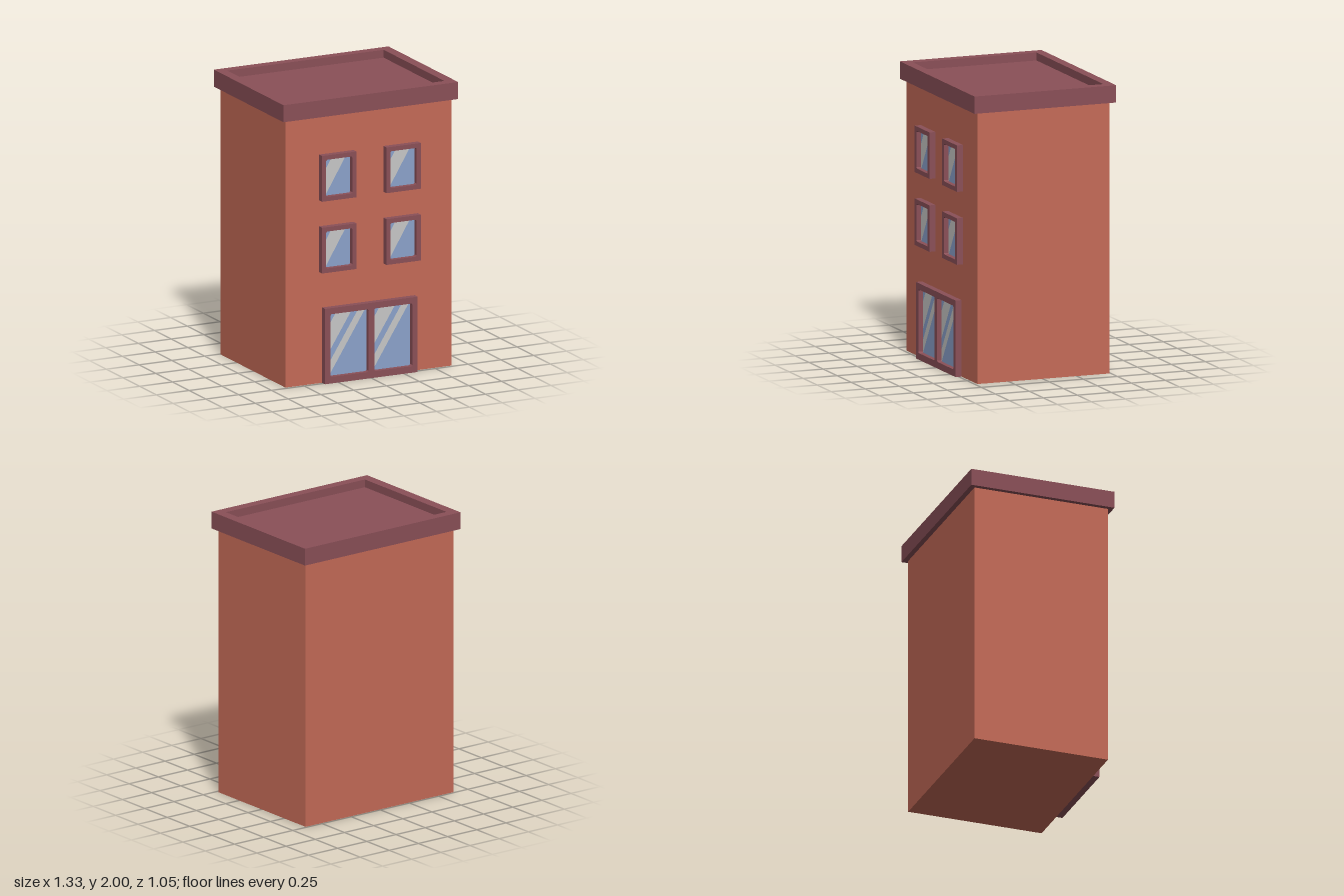
import * as THREE from 'three';

const mat = (name, color) => {
  const m = new THREE.MeshStandardMaterial({ color });
  m.name = name;
  return m;
};

// Rectangle outline with optional cut corners
function rect(x0, y0, x1, y1, cut = 0, Type = THREE.Shape) {
  const pts = cut
    ? [[x0 + cut, y0], [x1 - cut, y0], [x1, y0 + cut], [x1, y1 - cut],
      [x1 - cut, y1], [x0 + cut, y1], [x0, y1 - cut], [x0, y0 + cut]]
    : [[x0, y0], [x1, y0], [x1, y1], [x0, y1]];
  return new Type(pts.map(([x, y]) => new THREE.Vector2(x, y)));
}

// Keep the part of a polygon where f(point) >= 0
function clip(poly, f) {
  const out = [];
  poly.forEach((p, i) => {
    const q = poly[(i + 1) % poly.length], a = f(p), b = f(q);
    if (a >= 0) out.push(p);
    if (a * b < 0) out.push(p.clone().lerp(q, a / (a - b)));
  });
  return out;
}

export function createModel() {
  const brick = mat('brick', 0xc66b58);
  const trim = mat('trim', 0x8b5058);
  const glass = mat('glass', 0x8ca3cc);
  const glare = mat('glare', 0xc9c9c8);
  const wallZ = 0.48, frameDepth = 0.045, paneZ = 0.492;

  const model = new THREE.Group();
  model.name = 'building';
  const add = (parent, name, geometry, material) => {
    const mesh = new THREE.Mesh(geometry, material);
    mesh.name = name;
    parent.add(mesh);
    return mesh;
  };

  // Brick block
  add(model, 'walls', new THREE.BoxGeometry(1.266, 1.9, 0.97), brick).position.set(0, 0.95, -0.005);

  // Roof: raised rim around a sunken deck
  const rim = rect(-0.666, -0.515, 0.666, 0.526);
  rim.holes.push(rect(-0.596, -0.447, 0.596, 0.461, 0, THREE.Path));
  const rimGeo = new THREE.ExtrudeGeometry(rim, { depth: 0.12, bevelEnabled: false });
  rimGeo.rotateX(-Math.PI / 2);
  add(model, 'roofRim', rimGeo, trim).position.y = 1.88;
  add(model, 'roofDeck', new THREE.BoxGeometry(1.192, 0.06, 0.908), trim).position.set(0, 1.915, -0.007);

  // Pane split into diagonal strips; edges are distances along the top edge
  function addPane(parent, [x0, y0, x1, y1], edges, slope) {
    const along = (p) => p.x - x0 + slope * (y1 - p.y);
    const stops = [-1, ...edges, 9];
    for (let i = 0; i < stops.length - 1; i++) {
      let poly = rect(x0, y0, x1, y1).getPoints();
      poly = clip(poly, (p) => along(p) - stops[i]);
      poly = clip(poly, (p) => stops[i + 1] - along(p));
      if (poly.length < 3) continue;
      add(parent, i % 2 ? 'glareStrip' : 'glassStrip',
        new THREE.ShapeGeometry(new THREE.Shape(poly)), i % 2 ? glare : glass).position.z = paneZ;
    }
  }

  // Framed opening with one or more panes
  function addOpening(name, outer, panes, edges, slope) {
    const group = new THREE.Group();
    group.name = name;
    model.add(group);
    const shape = rect(...outer);
    panes.forEach((p) => shape.holes.push(rect(...p, 0.008, THREE.Path)));
    const geo = new THREE.ExtrudeGeometry(shape, { depth: frameDepth, bevelEnabled: false });
    add(group, 'frame', geo, trim).position.z = wallZ;
    panes.forEach((p) => addPane(group, p, edges, slope));
  }

  // Two rows of windows
  for (const y of [0.943, 1.448]) {
    for (const x of [-0.245, 0.245]) {
      addOpening('window', [x - 0.131, y - 0.161, x + 0.131, y + 0.161],
        [[x - 0.1, y - 0.13, x + 0.1, y + 0.13]], [0.056, 0.165], 0.6);
    }
  }

  // Double entrance door
  addOpening('door', [-0.353, 0, 0.353, 0.53],
    [[-0.312, 0.046, -0.022, 0.487], [0.022, 0.046, 0.312, 0.487]],
    [0.058, 0.177, 0.226, 0.282], 0.63);

  return model;
}
